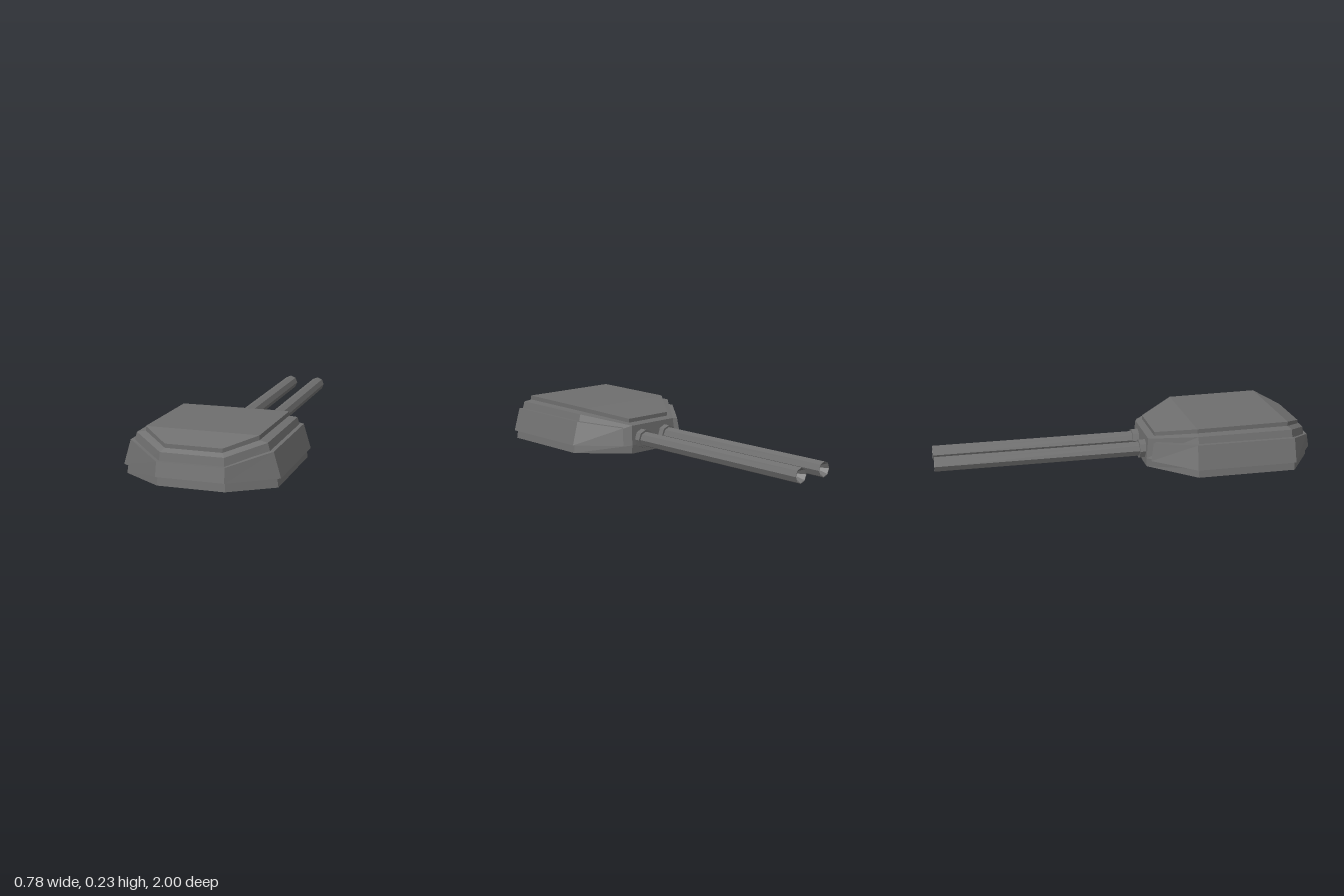
import * as THREE from 'three';

const steel = new THREE.MeshStandardMaterial({ color: 0x6e6e6e });
steel.name = 'gunmetal grey';

// Flat-faced mesh from a list of polygons (counter-clockwise corners).
function facetMesh(name, polygons) {
  const pos = [];
  for (const p of polygons) {
    for (let i = 1; i < p.length - 1; i++) pos.push(...p[0], ...p[i], ...p[i + 1]);
  }
  const geo = new THREE.BufferGeometry();
  geo.setAttribute('position', new THREE.Float32BufferAttribute(pos, 3));
  geo.computeVertexNormals();
  const mesh = new THREE.Mesh(geo, steel);
  mesh.name = name;
  return mesh;
}

// Quads between successive levels, each level being a row of points.
function loft(levels, closed) {
  const quads = [];
  const n = levels[0].length;
  for (let k = 0; k < levels.length - 1; k++) {
    for (let i = 0; i < (closed ? n : n - 1); i++) {
      const j = (i + 1) % n;
      quads.push([levels[k][i], levels[k][j], levels[k + 1][j], levels[k + 1][i]]);
    }
  }
  return quads;
}

// Mirror a left-hand run of points to the right-hand side.
const mirrored = (half) => half.map(([x, y, z]) => [-x, y, z]).reverse();

// Octagon: front corner, two side corners, back corner, then mirrored.
function octagon(front, sideFront, sideBack, back) {
  const half = [front, sideFront, sideBack, back];
  return [...half, ...mirrored(half)];
}

function createModel() {
  const model = new THREE.Group();
  model.name = 'twinGunTurret';

  // Hull: foot, waist, roof edge and roof shoulder
  const foot = octagon([0.165, 0, 0.985], [0.375, 0, 0.845], [0.375, 0, 0.325], [0.16, 0, 0.1]);
  const waist = octagon([0.163, 0.045, 0.98], [0.368, 0.045, 0.843], [0.368, 0.045, 0.327], [0.158, 0.045, 0.1]);
  const eave = octagon([0.155, 0.155, 0.965], [0.322, 0.205, 0.838], [0.322, 0.203, 0.333], [0.15, 0.15, 0.11]);
  const shoulder = octagon([0.14, 0.17, 0.94], [0.28, 0.212, 0.83], [0.28, 0.208, 0.338], [0.14, 0.16, 0.145]);
  model.add(facetMesh('hull', [...loft([foot, waist, eave, shoulder], true), [...foot].reverse()]));

  // Raised roof plate with sloping front and back
  const roof = octagon([0.14, 0.19, 0.94], [0.28, 0.235, 0.83], [0.28, 0.23, 0.338], [0.14, 0.181, 0.145]);
  const panels = [[0, 1, 6, 7], [1, 2, 5, 6], [2, 3, 4, 5]].map((p) => p.map((i) => roof[i]));
  model.add(facetMesh('roofPlate', [...loft([shoulder, roof], true), ...panels]));

  // Armour belt wrapping the front and sides, open at the back
  const belt = (half) => [...mirrored(half), ...half];
  const outerLow = belt([[0.167, 0.045, 1], [0.388, 0.045, 0.848], [0.388, 0.045, 0.318], [0.21, 0.047, 0.113]]);
  const outerHigh = belt([[0.165, 0.115, 0.988], [0.352, 0.168, 0.846], [0.352, 0.168, 0.322], [0.2, 0.14, 0.127]]);
  const innerHigh = belt([[0.15, 0.115, 0.95], [0.32, 0.168, 0.83], [0.32, 0.168, 0.34], [0.17, 0.14, 0.16]]);
  const innerLow = belt([[0.15, 0.045, 0.95], [0.34, 0.045, 0.83], [0.34, 0.045, 0.34], [0.17, 0.047, 0.16]]);
  const section = [outerLow, outerHigh, innerHigh, innerLow];
  model.add(facetMesh('armourBelt', [
    ...loft([...section, outerLow], false),
    section.map((row) => row[0]),
    section.map((row) => row[row.length - 1]).reverse(),
  ]));

  // Twin octagonal barrels with recessed muzzles and collars
  const barrelProfile = [[0, 0], [0.04, 0], [0.04, 1.12], [0.037, 1.12], [0, 1.05]]
    .map(([r, h]) => new THREE.Vector2(r, h));
  const barrelGeo = new THREE.LatheGeometry(barrelProfile, 8).toNonIndexed();
  barrelGeo.computeVertexNormals();
  const collarGeo = new THREE.CylinderGeometry(0.051, 0.051, 0.04, 8).toNonIndexed();
  collarGeo.computeVertexNormals();
  for (const side of [1, -1]) {
    const gun = new THREE.Group();
    gun.name = side > 0 ? 'leftGun' : 'rightGun';
    const barrel = new THREE.Mesh(barrelGeo, steel);
    barrel.name = 'barrel';
    const collar = new THREE.Mesh(collarGeo, steel);
    collar.name = 'barrelCollar';
    collar.position.y = 0.028;
    gun.add(barrel, collar);
    gun.rotation.x = -Math.PI / 2;
    gun.position.set(side * 0.085, 0.074, 0.12);
    model.add(gun);
  }
  return model;
}

export { createModel };
